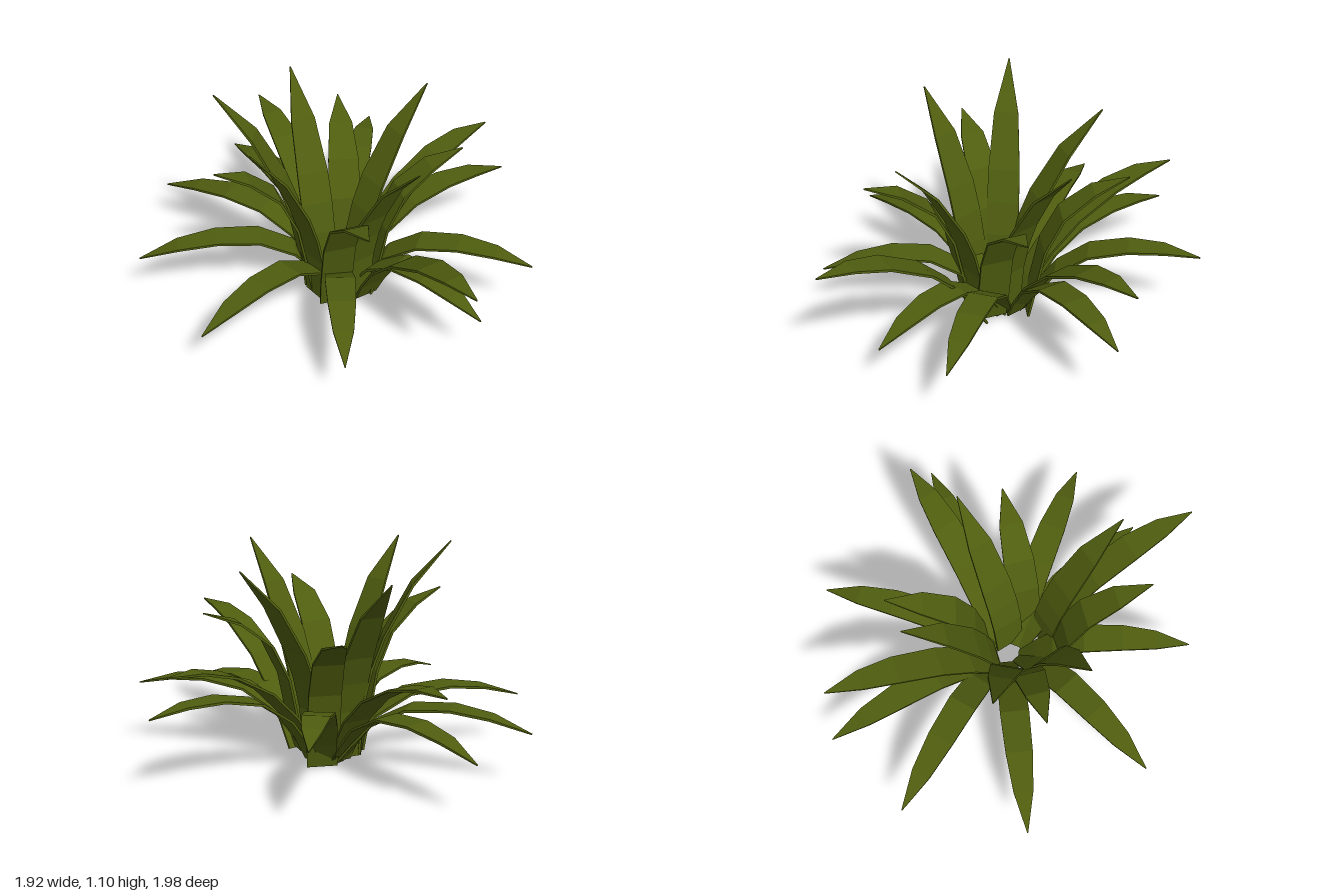
import * as THREE from 'three';

// Leaf profiles: [fraction of horizontal reach, fraction of rise, half width]
const high = [[0, 0, 0.075], [0.05, 0.25, 0.08], [0.14, 0.41, 0.08], [0.27, 0.56, 0.078], [0.58, 0.8, 0.06], [1, 1, 0.002]];
const upper = [[0, 0, 0.075], [0.06, 0.2, 0.08], [0.16, 0.52, 0.08], [0.34, 0.76, 0.076], [0.65, 0.92, 0.058], [1, 1, 0.002]];
const mid = [[0, 0, 0.06], [0.07, 0.2, 0.068], [0.18, 0.45, 0.074], [0.36, 0.71, 0.075], [0.6, 0.91, 0.07], [0.8, 0.99, 0.05], [1, 1, 0.002]];
// For drooping leaves the second value is a height above the base
const low = [[0, 0, 0.045], [0.1, 0.12, 0.06], [0.2, 0.23, 0.068], [0.38, 0.325, 0.072], [0.6, 0.345, 0.066], [0.8, 0.32, 0.048], [1, 0.26, 0.002]];

// Leaves: base x, y, z then tip x, y, z
const tiers = {
  innerLeaf: [high, [
    [-0.14, 0.06, -0.05, -0.53, 1.11, -0.23],
    [-0.14, 0.06, 0.1, -0.48, 1.06, 0.23],
    [-0.06, 0.04, -0.08, -0.07, 1.0, -0.54],
    [0.05, 0.05, 0.16, 0.19, 1.04, 0.57],
    [0.08, 0.03, 0.0, 0.5, 1.03, -0.14],
  ]],
  upperLeaf: [upper, [
    [-0.15, 0.06, 0.0, -0.6, 0.83, 0.0],
    [0.12, 0.05, 0.1, 0.6, 0.79, 0.1],
    [-0.07, 0.06, 0.17, -0.07, 0.81, 0.66],
    [0.08, 0.02, -0.1, 0.19, 0.76, -0.58],
  ]],
  middleLeaf: [mid, [
    [0.1, 0.03, -0.04, 0.9, 0.62, -0.3],
    [0.1, 0.04, 0.15, 0.31, 0.64, 0.99],
    [-0.02, 0.03, -0.08, -0.13, 0.59, -0.96],
  ]],
  outerLeaf: [low, [
    [0.0, 0.02, -0.08, -0.27, 0.28, -0.99],
    [0.05, 0.02, -0.08, 0.46, 0.4, -0.85],
    [-0.01, 0.02, -0.08, -0.7, 0.28, -0.74],
    [0.07, 0.02, 0.02, 0.8, 0.35, 0.55],
    [0.06, 0.02, 0.04, 0.45, 0.28, 0.76],
    [-0.01, 0.02, 0.03, -0.24, 0.28, 0.85],
    [0.0, 0.02, 0.03, -0.8, 0.28, 0.46],
    [-0.02, 0.02, -0.04, -0.96, 0.28, -0.18],
    [0.08, 0.02, -0.04, 0.96, 0.4, -0.19],
  ]],
};

// Thin solid blade swept along a bent spine
function leafGeometry(profile, [bx, by, bz, tx, ty, tz]) {
  const drooping = profile === low;
  const spine = profile.map(([t, h]) => new THREE.Vector3(
    bx + (tx - bx) * t,
    by + (drooping ? h + (ty - 0.28) * t : h * (ty - by)),
    bz + (tz - bz) * t));
  const dir = new THREE.Vector3(tx - bx, 0, tz - bz).normalize();
  const side = new THREE.Vector3(dir.z, 0, -dir.x);
  const last = spine.length - 1;
  const pos = [], index = [];
  spine.forEach((p, i) => {
    const tangent = spine[Math.min(i + 1, last)].clone().sub(spine[Math.max(i - 1, 0)]).normalize();
    const normal = tangent.cross(side);
    const w = profile[i][2], h = i === last ? 0.003 : 0.006;
    for (const [a, b] of [[1, 1], [-1, 1], [-1, -1], [1, -1]]) {
      const v = p.clone().addScaledVector(side, a * w).addScaledVector(normal, b * h);
      pos.push(v.x, v.y, v.z);
    }
    if (i === last) return;
    for (let j = 0; j < 4; j++) {
      const a = i * 4 + j, b = i * 4 + (j + 1) % 4;
      index.push(a, b, b + 4, a, b + 4, a + 4);
    }
  });
  const e = last * 4;
  index.push(0, 3, 2, 0, 2, 1, e, e + 1, e + 2, e, e + 2, e + 3);
  const geo = new THREE.BufferGeometry();
  geo.setAttribute('position', new THREE.Float32BufferAttribute(pos, 3));
  geo.setIndex(index);
  const flat = geo.toNonIndexed();
  flat.computeVertexNormals();
  return flat;
}

export function createModel() {
  const plant = new THREE.Group();
  plant.name = 'plant';
  const leafGreen = new THREE.MeshStandardMaterial({ color: 0x4f5d0f, flatShading: true });
  leafGreen.name = 'olive green';
  for (const [name, [profile, leaves]] of Object.entries(tiers)) {
    const tier = new THREE.Group();
    tier.name = name + 'Ring';
    leaves.forEach((leaf, i) => {
      const mesh = new THREE.Mesh(leafGeometry(profile, leaf), leafGreen);
      mesh.name = name + (i + 1);
      tier.add(mesh);
    });
    plant.add(tier);
  }
  return plant;
}
